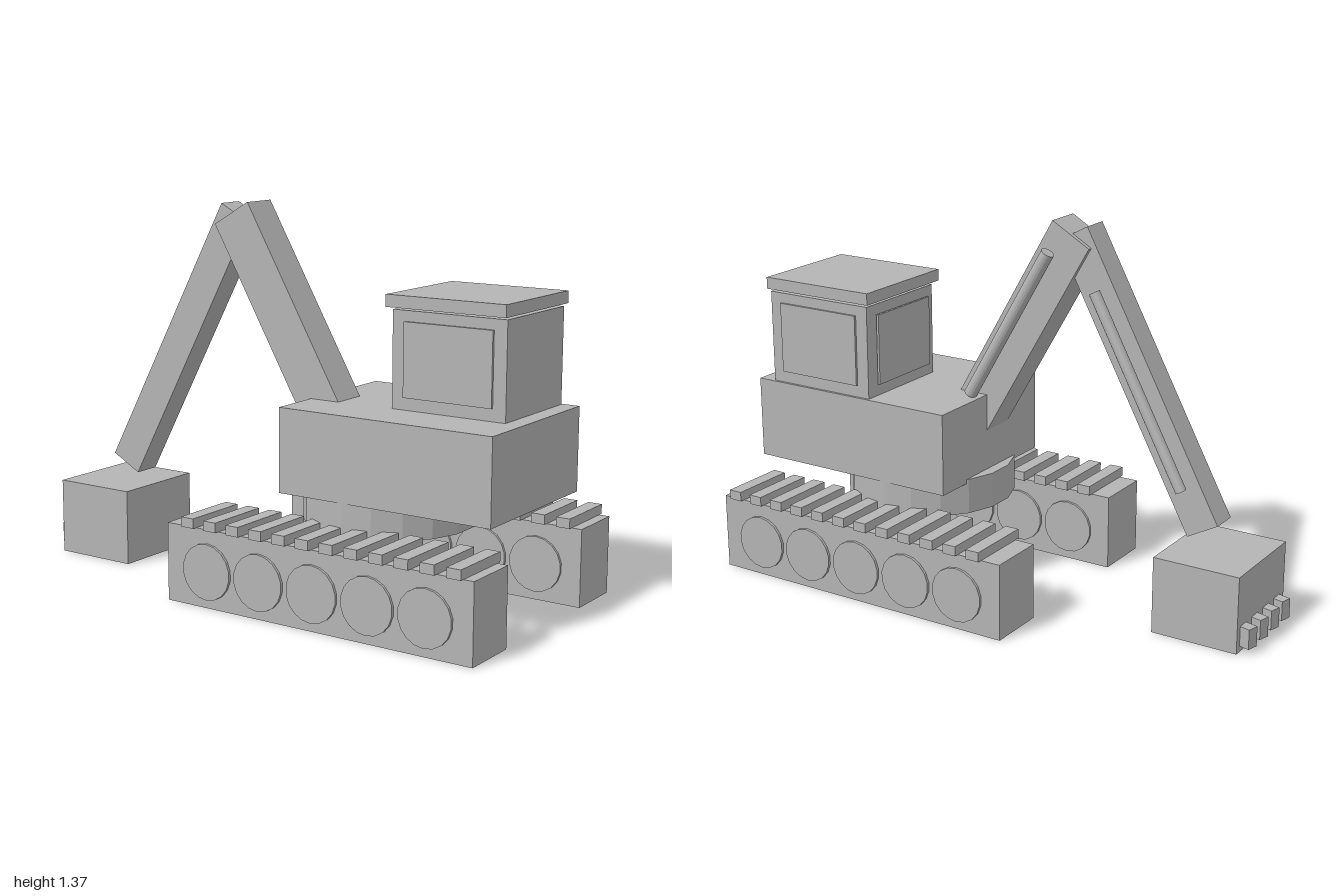
import * as THREE from 'three';

export function createModel() {
  const model = new THREE.Group();
  const grey = new THREE.MeshStandardMaterial({ color: 0xb4b4b4, flatShading: true });
  grey.name = 'plain grey';

  const add = (name, geometry, parent = model) => {
    const mesh = new THREE.Mesh(geometry, grey);
    mesh.name = name;
    parent.add(mesh);
    return mesh;
  };
  // Box given by its minimum and maximum corners
  const box = (name, [x0, y0, z0], [x1, y1, z1], parent) => {
    const mesh = add(name, new THREE.BoxGeometry(x1 - x0, y1 - y0, z1 - z0), parent);
    mesh.position.set((x0 + x1) / 2, (y0 + y1) / 2, (z0 + z1) / 2);
    return mesh;
  };
  // Place a y-aligned part between two points in a plane of constant z
  const span = (mesh, [x0, y0], [x1, y1], z) => {
    mesh.position.set((x0 + x1) / 2, (y0 + y1) / 2, z);
    mesh.rotation.z = -Math.atan2(x1 - x0, y1 - y0);
  };
  const beam = (name, a, b, z, width, depth) => {
    const length = Math.hypot(b[0] - a[0], b[1] - a[1]);
    span(add(name, new THREE.BoxGeometry(width, length, depth)), a, b, z);
  };
  const piston = (name, a, b, z, radius) => {
    const length = Math.hypot(b[0] - a[0], b[1] - a[1]);
    span(add(name, new THREE.CylinderGeometry(radius, radius, length, 18)), a, b, z);
  };

  // Tracks with wheels and cleats, one on each side
  for (const side of [1, -1]) {
    const track = new THREE.Group();
    track.name = side > 0 ? 'frontTrack' : 'backTrack';
    track.position.z = side * 0.372;
    model.add(track);
    box('trackBlock', [-0.223, 0, -0.109], [0.997, 0.28, 0.109], track);
    for (let i = 0; i < 5; i++) {
      const wheel = add('wheel', new THREE.CylinderGeometry(0.1, 0.1, 0.238, 18), track);
      wheel.rotation.x = Math.PI / 2;
      wheel.position.set(-0.049 + i * 0.2185, 0.131, 0);
    }
    for (let i = 0; i < 12; i++) {
      const x = -0.123 + i * 0.096;
      box('cleat', [x - 0.026, 0.28, -0.126], [x + 0.026, 0.315, 0.126], track);
    }
  }

  // Slewing ring and body
  const ring = add('slewingRing', new THREE.CylinderGeometry(0.305, 0.305, 0.13, 18));
  ring.position.set(0.387, 0.35, 0);
  box('body', [0.128, 0.4, -0.305], [0.954, 0.7, 0.305]);

  // Cab with roof and raised window panels
  box('cab', [0.455, 0.7, -0.295], [0.89, 1.04, 0.103]);
  box('cabRoof', [0.444, 1.05, -0.305], [0.9, 1.093, 0.132]);
  box('frontWindow', [0.503, 0.744, 0.104], [0.842, 1.003, 0.113]);
  box('backWindow', [0.503, 0.744, -0.304], [0.842, 1.003, -0.2955]);
  box('sideWindow', [0.441, 0.744, -0.245], [0.45, 1.003, 0.066]);

  // Boom, stick and their pistons
  beam('boom', [0.23, 0.555], [-0.2175, 1.33], 0.046, 0.167, 0.137);
  beam('stick', [-0.743, 0.352], [-0.2155, 1.331], 0.046, 0.13, 0.102);
  piston('boomPiston', [0.17, 0.709], [-0.153, 1.268], -0.065, 0.024);
  piston('stickPiston', [-0.68, 0.5], [-0.33, 1.15], -0.051, 0.02);

  // Bucket with angled teeth
  box('bucket', [-0.952, 0, -0.142], [-0.628, 0.28, 0.23]);
  for (let i = 0; i < 4; i++) {
    const tooth = add('tooth', new THREE.BoxGeometry(0.06, 0.073, 0.043));
    tooth.position.set(-0.966, 0.058, -0.1 + i * 0.089);
    tooth.rotation.y = -0.26;
  }
  return model;
}
